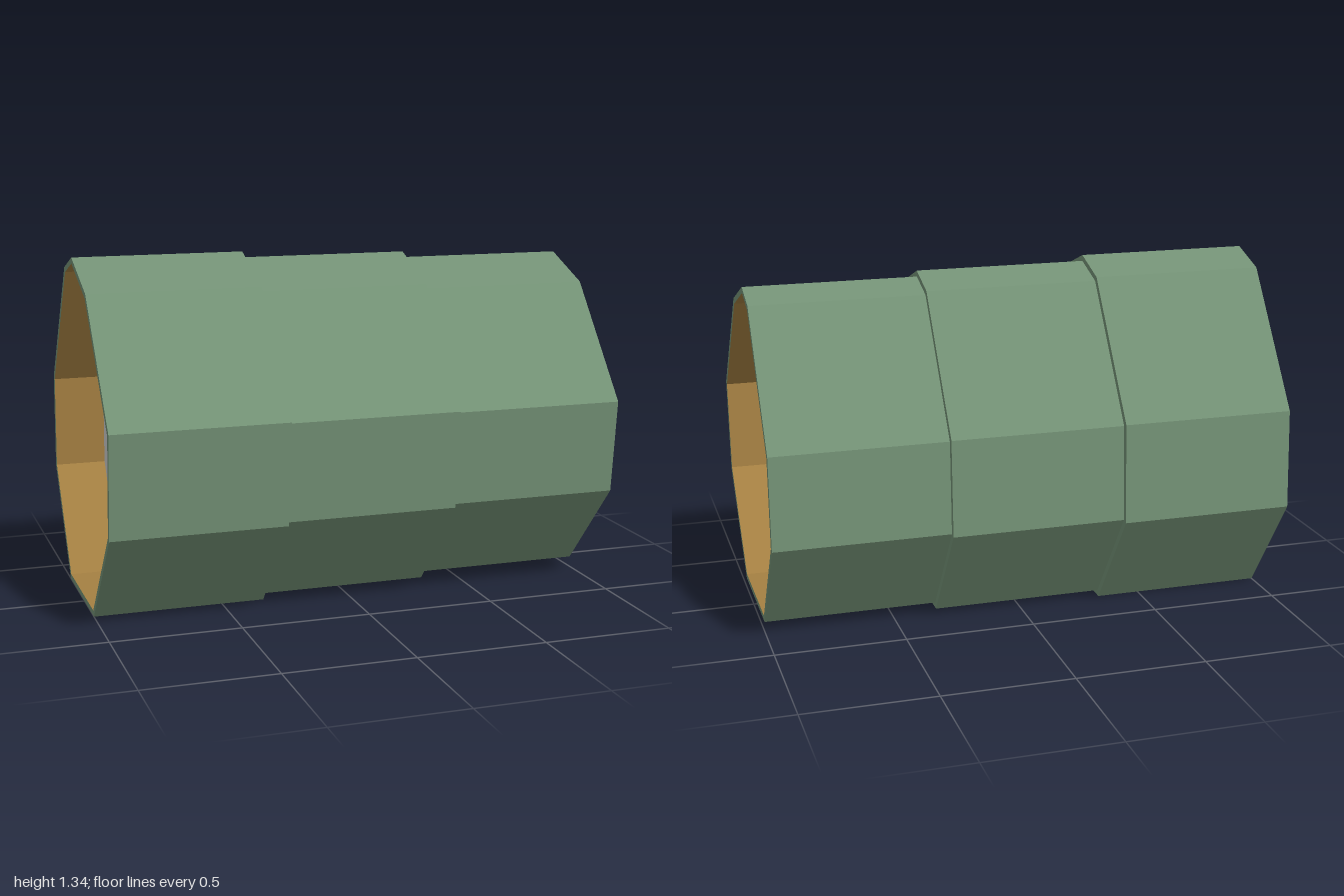
import * as THREE from 'three';

// Cross-section corners as [z, y], clockwise seen from +x
const OUTER = [[0.22, 1.232], [-0.055, 1.335], [-0.222, 1.28], [-0.574, 0.79], [-0.594, 0.41],
  [-0.308, 0], [0.2, 0], [0.552, 0.39], [0.594, 0.787]];
const INNER = [[0.178, 1.175], [-0.058, 1.266], [-0.173, 1.228], [-0.506, 0.763], [-0.524, 0.425],
  [-0.272, 0.063], [0.166, 0.063], [0.488, 0.415], [0.525, 0.762]];

// Section inset by a number of wall thicknesses (0 = outermost, 3 = innermost)
const profile = (step) => OUTER.map(([z, y], i) => [
  THREE.MathUtils.lerp(z, INNER[i][0], step / 3),
  THREE.MathUtils.lerp(y, INNER[i][1], step / 3),
]);

// Flat-faced skin joining successive rings, each given as [profile, x]
function skin(rings) {
  const pos = [];
  for (let r = 0; r < rings.length - 1; r++) {
    const [a, xa] = rings[r], [b, xb] = rings[r + 1];
    for (let i = 0; i < a.length; i++) {
      const j = (i + 1) % a.length;
      const at = (p, x, k) => [x, p[k][1], p[k][0]];
      pos.push(...at(a, xa, i), ...at(b, xb, i), ...at(b, xb, j));
      pos.push(...at(a, xa, i), ...at(b, xb, j), ...at(a, xa, j));
    }
  }
  const g = new THREE.BufferGeometry();
  g.setAttribute('position', new THREE.Float32BufferAttribute(pos, 3));
  g.computeVertexNormals();
  return g;
}

export function createModel() {
  const model = new THREE.Group();
  model.name = 'steppedTube';

  const green = new THREE.MeshStandardMaterial({ color: 0x739175, flatShading: true });
  green.name = 'sage green';
  const brown = new THREE.MeshStandardMaterial({ color: 0xa58042, flatShading: true });
  brown.name = 'ochre brown';
  const grey = new THREE.MeshStandardMaterial({ color: 0xcccccc, side: THREE.DoubleSide });
  grey.name = 'light grey';

  const add = (name, geometry, material) => {
    const mesh = new THREE.Mesh(geometry, material);
    mesh.name = name;
    model.add(mesh);
    return mesh;
  };

  // Three nested sections, each one wall thickness smaller than the last
  for (let s = 0; s < 3; s++) {
    const x0 = -1 + (s * 2) / 3, x1 = x0 + 2 / 3;
    const out = profile(s), inn = profile(s + 1);
    add(`sectionShell${s + 1}`, skin([[out, x0], [out, x1], [inn, x1]]), green);
    add(`sectionBackRim${s + 1}`, skin([[inn, x0], [out, x0]]), green);
    add(`sectionLining${s + 1}`, skin([[inn, x1], [inn, x0]]), brown);
  }

  // Recessed panel closing each end
  for (const [name, step, x] of [['rightEndPanel', 3, 0.8], ['leftEndPanel', 1, -0.8]]) {
    const shape = new THREE.Shape(profile(step).map(([z, y]) => new THREE.Vector2(-z, y)));
    const panel = add(name, new THREE.ShapeGeometry(shape), grey);
    panel.rotation.y = Math.PI / 2;
    panel.position.x = x;
  }

  return model;
}
